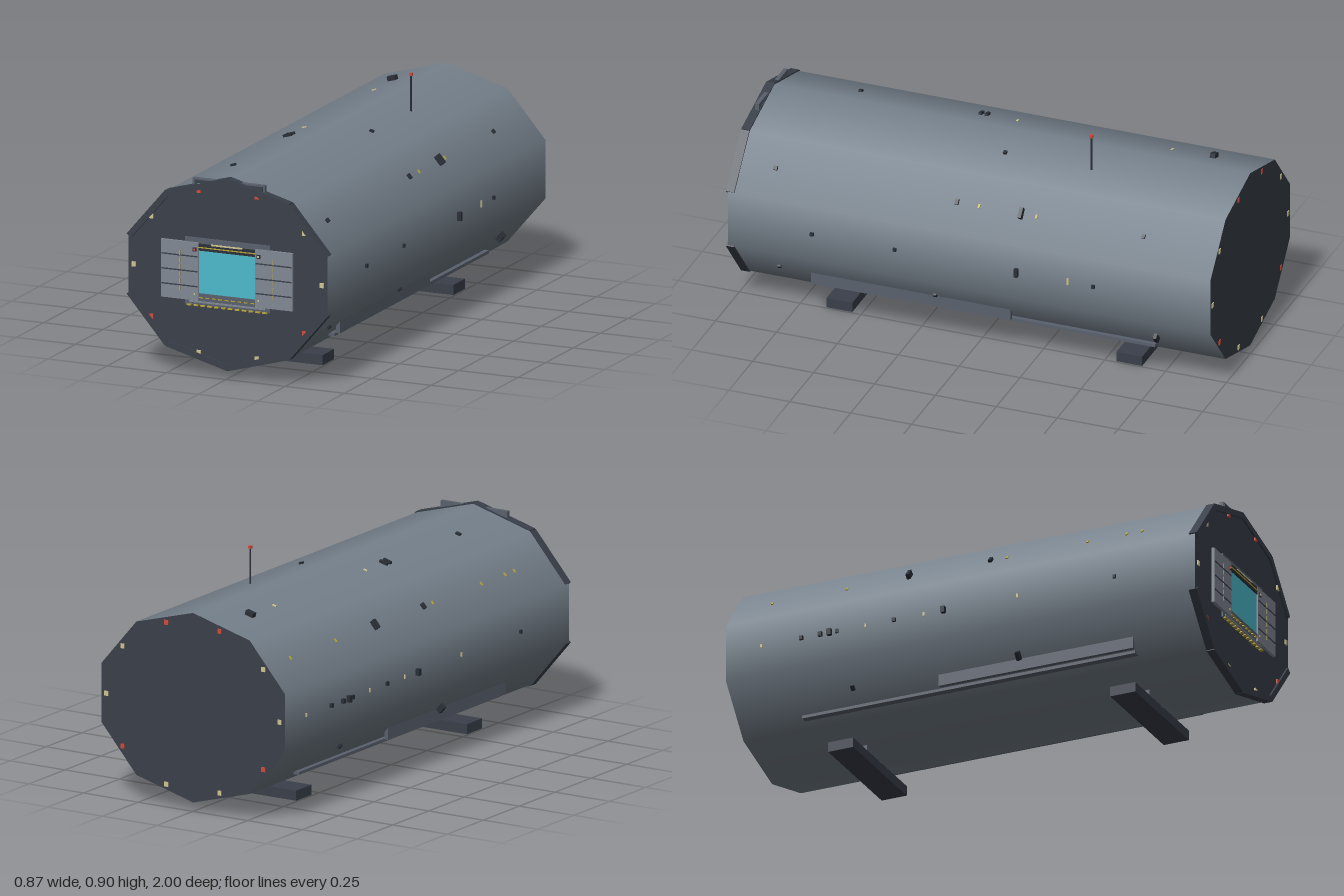
import * as THREE from 'three';

const RX = 0.4416, RY = 0.375, CY = 0.41, SIDES = 10;

export function createModel() {
  const root = new THREE.Group();
  const material = (name, color) => {
    const m = new THREE.MeshStandardMaterial({ color });
    m.name = name;
    return m;
  };
  const hullGrey = material('hull grey', 0x76818c);
  const dark = material('dark slate', 0x393f4a);
  const black = material('near black', 0x2a2f37);
  const mid = material('mid grey', 0x5a616d);
  const panel = material('panel grey', 0x818893);
  const cyan = material('cyan field', 0x4cb9cb);
  const red = material('red lamp', 0xd24a3a);
  const cream = material('cream lamp', 0xcfc690);
  const yellow = material('hazard yellow', 0xb9a63a);

  const add = (name, geometry, mat, parent = root) => {
    const mesh = new THREE.Mesh(geometry, mat);
    mesh.name = name;
    parent.add(mesh);
    return mesh;
  };
  const box = (name, mat, w, h, d, x, y, z, parent = root) => {
    const mesh = add(name, new THREE.BoxGeometry(w, h, d), mat, parent);
    mesh.position.set(x, y, z);
    return mesh;
  };
  const group = (name) => {
    const g = new THREE.Group();
    g.name = name;
    root.add(g);
    return g;
  };

  // Ten-sided hull with smooth sides and dark end caps
  const hull = new THREE.CylinderGeometry(1, 1, 1.98, SIDES, 1, true);
  hull.rotateX(Math.PI / 2).scale(RX, RY, 1).translate(0, CY, -0.01);
  add('hull', hull, hullGrey);
  for (const [name, z, turn] of [['frontCap', 0.98, 0], ['backCap', -0.999, Math.PI]]) {
    const cap = new THREE.CircleGeometry(1, SIDES, Math.PI / 2);
    cap.scale(RX, RY, 1).rotateY(turn).translate(0, CY, z);
    add(name, cap, dark);
  }

  // Places a box on the middle of a hull facet: facet 0 is +x, counting towards the top
  const corner = (a) => new THREE.Vector2(RX * Math.cos(a), CY + RY * Math.sin(a));
  const onFacet = (name, mat, facet, z, width, length, height, parent, sink = 0.004) => {
    const a = facet * Math.PI / 5;
    const p = corner(a - Math.PI / 10), q = corner(a + Math.PI / 10);
    const phi = Math.atan2(q.y - p.y, q.x - p.x) - Math.PI / 2;
    const w = width || p.distanceTo(q);
    const offset = height / 2 - sink;
    return box(name, mat, height, w, length,
      (p.x + q.x) / 2 + Math.cos(phi) * offset,
      (p.y + q.y) / 2 + Math.sin(phi) * offset, z, parent);
  };
  const aligned = (...args) => {
    const mesh = onFacet(...args);
    const a = args[2] * Math.PI / 5;
    const p = corner(a - Math.PI / 10), q = corner(a + Math.PI / 10);
    mesh.rotation.z = Math.atan2(q.y - p.y, q.x - p.x) - Math.PI / 2;
    return mesh;
  };

  // Front rim slabs, open on the two vertical sides
  const rim = group('frontRim');
  for (let f = 0; f < SIDES; f++) {
    if (f % 5) aligned('rimSlab', dark, f, 0.971, 0, 0.034, 0.024, rim, 0.019);
  }

  // Marker lamps on both ends
  const lamps = group('markerLamps');
  const lampSpots = [[0.122, 0.73, red], [0.322, 0.608, cream], [0.396, 0.41, cream],
    [0.322, 0.212, red], [0.122, 0.09, cream]];
  for (const [x, y, mat] of lampSpots) {
    for (const s of [-1, 1]) {
      box('frontLamp', mat, 0.017, 0.019, 0.008, s * x, y, 0.982, lamps);
      box('backLamp', mat, 0.017, 0.019, 0.006, s * x, y, -0.999, lamps);
    }
  }

  // Docking bay: frame, glowing opening and lintel
  const bay = group('dockingBay');
  box('bayFrame', mid, 0.36, 0.266, 0.006, 0, 0.41, 0.982, bay);
  box('bayOpening', cyan, 0.24, 0.172, 0.004, 0, 0.411, 0.986, bay);
  box('lintel', black, 0.24, 0.026, 0.01, 0, 0.508, 0.988, bay);
  box('lintelStripe', yellow, 0.24, 0.004, 0.003, 0, 0.508, 0.994, bay);
  box('lintelLight', cream, 0.132, 0.005, 0.006, 0, 0.521, 0.992, bay);
  box('sill', mid, 0.24, 0.014, 0.01, 0, 0.319, 0.988, bay);
  box('lowerLedge', panel, 0.32, 0.006, 0.008, 0, 0.291, 0.986, bay);
  for (let i = 0; i < 9; i++) {
    box('sillDash', yellow, 0.016, 0.004, 0.008, -0.108 + i * 0.027, 0.31, 0.99, bay);
  }
  for (let i = 0; i < 12; i++) {
    box('ledgeDash', yellow, 0.018, 0.005, 0.014, -0.16 + i * 0.029, 0.277, 0.987, bay);
  }

  // Sliding doors with seams, hazard dashes and indicator lights
  for (const s of [-1, 1]) {
    const door = group(s > 0 ? 'leftDoor' : 'rightDoor');
    box('doorPanel', panel, 0.158, 0.228, 0.012, s * 0.198, 0.411, 0.988, door);
    for (const y of [0.352, 0.411, 0.47]) {
      box('doorSeam', dark, 0.152, 0.005, 0.003, s * 0.198, y, 0.994, door);
    }
    for (let i = 0; i < 6; i++) {
      box('doorDash', yellow, 0.005, 0.019, 0.004, s * 0.197, 0.342 + i * 0.0275, 0.995, door);
    }
    box('indicatorBase', black, 0.015, 0.015, 0.004, s * 0.135, 0.498, 0.995, door);
    box('indicator', s < 0 ? red : cream, 0.008, 0.008, 0.003, s * 0.135, 0.498, 0.998, door);
    box('lowerIndicator', cream, 0.007, 0.007, 0.003, s * 0.135, 0.323, 0.995, door);
  }

  // Sign board behind the top of the front rim
  const board = group('topBoard');
  box('boardFrame', mid, 0.304, 0.055, 0.016, 0, 0.748, 0.966, board);
  box('boardFace', dark, 0.288, 0.042, 0.003, 0, 0.748, 0.975, board);
  box('boardLight', cyan, 0.012, 0.006, 0.003, -0.125, 0.754, 0.977, board);

  // Cross skids under the hull
  for (const z of [0.592, -0.598]) {
    const skid = group(z > 0 ? 'frontSkid' : 'backSkid');
    box('skidBeam', dark, 0.486, 0.04, 0.106, 0, 0.02, z, skid);
    box('skidPedestal', mid, 0.22, 0.045, 0.1, 0, 0.0425, z, skid);
  }

  // Long rails and shorter ducts low on each side
  for (const s of [-1, 1]) {
    const rails = group(s > 0 ? 'leftRails' : 'rightRails');
    box('duct', mid, 0.016, 0.05, 0.82, s * 0.322, 0.167, 0.265, rails);
    box('rail', mid, 0.05, 0.012, 1.405, s * 0.283, 0.135, -0.0275, rails);
  }

  // Antenna
  const antenna = group('antenna');
  add('mast', new THREE.CylinderGeometry(0.0035, 0.0035, 0.15, 8), black, antenna)
    .position.set(0.132, 0.815, -0.4);
  box('beacon', red, 0.012, 0.011, 0.012, 0.132, 0.894, -0.4, antenna);

  // Small fittings per facet: [facet, z, width around hull, length along hull, height]
  const fittings = group('hullFittings');
  const dots = [
    [0, 0.635, 0.014, 0.014, 0.012], [0, 0.295, 0.014, 0.012, 0.012],
    [0, -0.205, 0.034, 0.015, 0.02], [0, -0.52, 0.014, 0.012, 0.014],
    [1, 0.815, 0.016, 0.016, 0.014], [1, 0.07, 0.022, 0.014, 0.014],
    [1, -0.195, 0.042, 0.014, 0.028], [1, -0.695, 0.016, 0.014, 0.012],
    [2, -0.045, 0.016, 0.014, 0.012],
    [3, -0.8, 0.036, 0.022, 0.022], [3, 0.13, 0.036, 0.012, 0.014],
    [3, 0.155, 0.036, 0.012, 0.014], [3, 0.65, 0.02, 0.014, 0.012],
    [4, -0.26, 0.038, 0.014, 0.026], [4, 0.082, 0.024, 0.014, 0.016],
    [5, -0.68, 0.016, 0.014, 0.014], [5, -0.6, 0.018, 0.014, 0.016],
    [5, -0.56, 0.026, 0.018, 0.02], [5, -0.53, 0.016, 0.012, 0.012],
    [5, -0.29, 0.016, 0.014, 0.012], [5, -0.08, 0.026, 0.016, 0.02],
    [5, 0.64, 0.014, 0.012, 0.012],
    [6, -0.5, 0.02, 0.014, 0.014], [6, 0.2, 0.034, 0.016, 0.026],
    [9, 0.8, 0.014, 0.014, 0.012], [9, 0.16, 0.016, 0.014, 0.012],
    [9, -0.75, 0.04, 0.014, 0.026],
  ];
  for (const [f, z, w, l, h] of dots) aligned('fitting', black, f, z, w, l, h, fittings);

  // Hull windows and tell-tales: [facet, z, width]
  const windows = group('hullWindows');
  for (const [f, z, w] of [[0, -0.415, 0.026], [3, -0.63, 0.018], [3, 0.005, 0.018],
    [5, -0.85, 0.014], [5, -0.41, 0.016], [5, -0.165, 0.016], [5, 0.23, 0.016]]) {
    aligned('window', cream, f, z, w, 0.008, 0.008, windows);
  }
  for (const [f, z] of [[1, -0.255], [1, -0.02], [4, -0.84], [4, -0.525], [4, 0.15],
    [4, 0.49], [4, 0.655], [4, 0.72]]) {
    aligned('tellTale', yellow, f, z, 0.016, 0.008, 0.008, windows);
  }
  return root;
}
